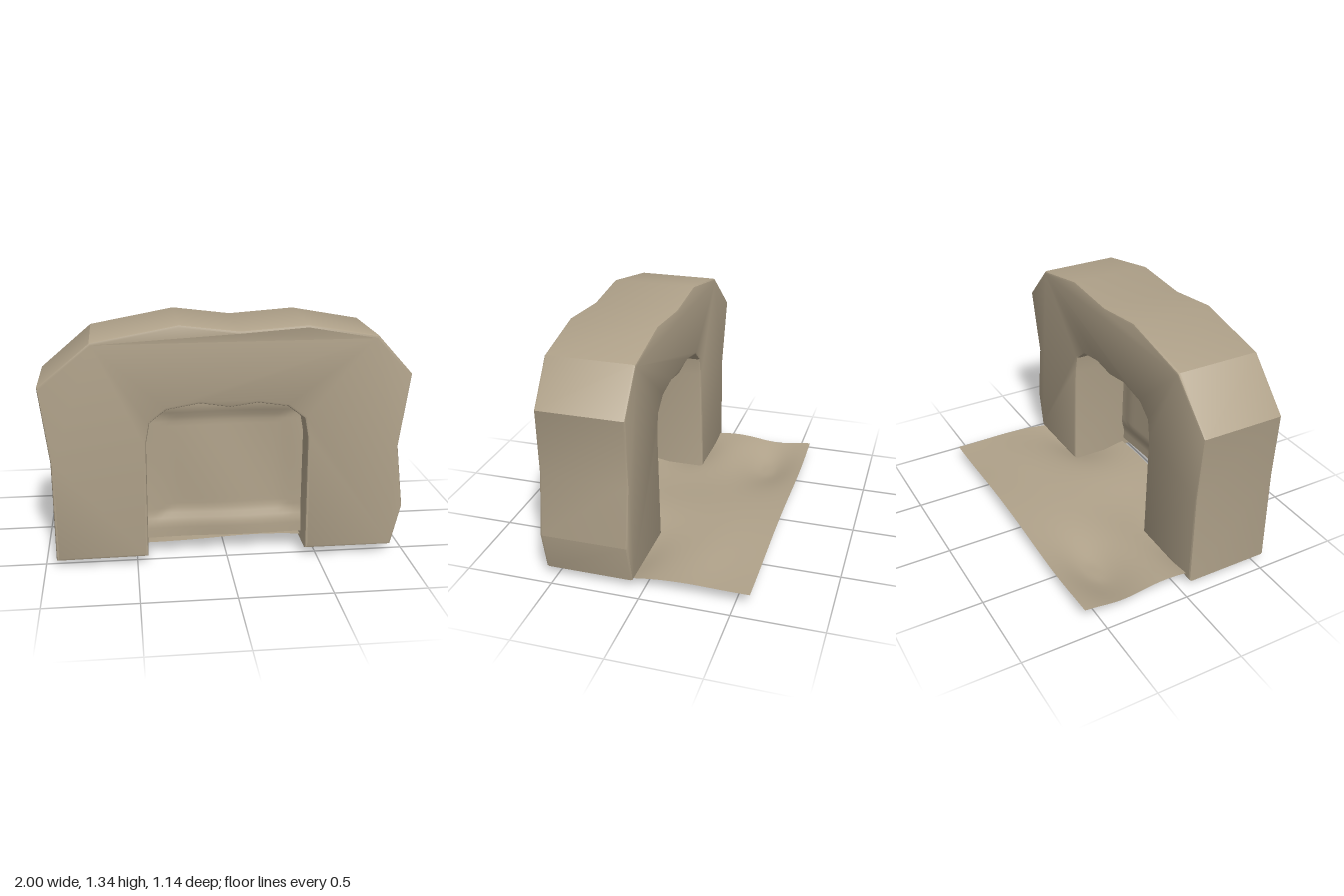
import * as THREE from 'three';
import { toCreasedNormals } from 'three/addons/utils/BufferGeometryUtils.js';

const stone = new THREE.MeshStandardMaterial({ color: 0xb0a28a });
const sheetStone = new THREE.MeshStandardMaterial({ color: 0xb0a28a, side: THREE.DoubleSide });

// Move every vertex of a geometry by a rule
function warp(geometry, rule) {
  const p = geometry.attributes.position;
  const v = new THREE.Vector3();
  for (let i = 0; i < p.count; i++) {
    v.fromBufferAttribute(p, i);
    rule(v);
    p.setXYZ(i, v.x, v.y, v.z);
  }
  geometry.computeVertexNormals();
  return geometry;
}

const bump = (x, z, cx, cz, rx, rz) => Math.exp(-(((x - cx) / rx) ** 2) - ((z - cz) / rz) ** 2);
const step = THREE.MathUtils.smoothstep;

// Rough-hewn arch: irregular outline with a ragged rounded opening
function makeArch() {
  const outline = [
    [-0.94, 0.04], [-0.44, 0.045],
    [-0.44, 0.7], [-0.42, 0.81], [-0.33, 0.88], [-0.15, 0.91], [0.01, 0.885],
    [0.16, 0.905], [0.32, 0.88], [0.41, 0.81], [0.43, 0.7], [0.43, 0.05],
    [0.92, 0.05], [0.975, 0.28], [0.935, 0.63], [1, 1.03], [0.8, 1.25],
    [0.42, 1.32], [0.06, 1.295], [-0.26, 1.335], [-0.72, 1.25], [-1, 1.01], [-0.945, 0.6],
  ];
  const shape = new THREE.Shape(outline.map(([x, y]) => new THREE.Vector2(x, y)));
  const bevel = 0.014;
  const geometry = new THREE.ExtrudeGeometry(shape, {
    depth: 0.5 - 2 * bevel, bevelThickness: bevel, bevelSize: bevel, bevelOffset: -bevel, bevelSegments: 2,
  });
  // Uneven faces: the front leans back at the shoulders, the back swells at mid height
  warp(geometry, (v) => {
    const shoulder = step(Math.abs(v.x), 0.6, 1) * step(v.y, 0.5, 1);
    if (v.z > 0.25) v.z += 0.075 - 0.032 * shoulder;
    else v.z += 0.07 + 0.018 * bump(v.x, v.y, -0.1, 0.8, 0.9, 0.5) - 0.016 * shoulder;
  });
  return new THREE.Mesh(toCreasedNormals(geometry, 0.5), stone);
}

// Recessed slab closing the opening, its border swelling forward
function makePanel() {
  const geometry = new THREE.PlaneGeometry(0.96, 0.86, 32, 32);
  geometry.translate(0, 0.53, 0.405);
  warp(geometry, (v) => {
    const side = step(Math.abs(v.x), 0.28, 0.42);
    const low = 1 - step(v.y, 0.17, 0.27);
    const high = step(v.y, 0.77, 0.87);
    v.z += 0.03 * Math.max(0.5 * side, low, high) + 0.006 * Math.sin(v.x * 9 + v.y * 5);
  });
  return new THREE.Mesh(geometry, sheetStone);
}

// Thin undulating ground with hollows and low mounds
function makeGround() {
  const front = 0.42, back = -0.58;
  const geometry = new THREE.PlaneGeometry(1.8, front - back, 48, 32);
  geometry.rotateX(-Math.PI / 2);
  geometry.translate(0, 0, (front + back) / 2);
  warp(geometry, (v) => {
    v.y = 0.08 + 0.008 * Math.cos(v.x * 5 - 1)
      - 0.08 * bump(v.x, v.z, -0.6, -0.35, 0.3, 0.17)
      - 0.08 * bump(v.x, v.z, 0.64, 0.18, 0.27, 0.18)
      - 0.07 * bump(v.x, v.z, -0.68, 0.2, 0.25, 0.16)
      - 0.02 * bump(v.x, v.z, -0.2, 0.1, 0.3, 0.3)
      + 0.012 * bump(v.x, v.z, 0.6, -0.25, 0.3, 0.15);
    v.y = Math.max(v.y, 0);
  });
  return new THREE.Mesh(geometry, sheetStone);
}

export function createModel() {
  const group = new THREE.Group();
  group.name = 'stoneArchway';
  const parts = { arch: makeArch(), recessPanel: makePanel(), ground: makeGround() };
  for (const [name, mesh] of Object.entries(parts)) {
    mesh.name = name;
    group.add(mesh);
  }
  return group;
}
